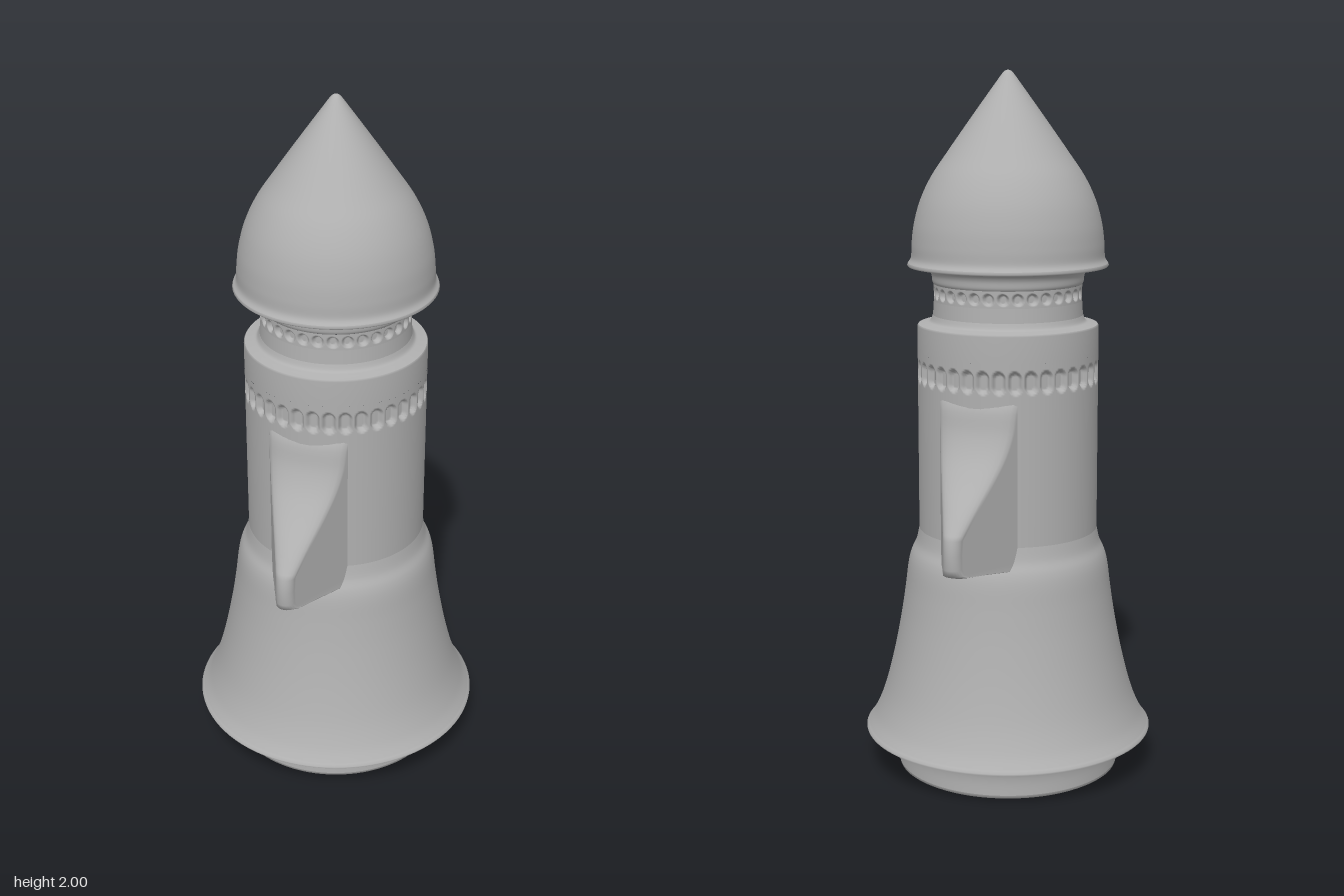
import * as THREE from 'three';
import { mergeVertices } from 'three/addons/utils/BufferGeometryUtils.js';

const v2 = (pts) => pts.map(([x, y]) => new THREE.Vector2(x, y));
const curved = (pts, n) => new THREE.SplineCurve(v2(pts)).getPoints(n);

// Cylinder wall with a row of rounded recesses pressed into it
function recessedBand(r, y0, y1, count, w, yLow, yHigh, depth) {
  const rows = 20;
  const pts = Array.from({ length: rows + 1 }, (_, i) => new THREE.Vector2(r, y0 + ((y1 - y0) * i) / rows));
  let geo = new THREE.LatheGeometry(pts, count * 12);
  geo.deleteAttribute('uv');
  geo.deleteAttribute('normal');
  geo = mergeVertices(geo, 1e-5);
  const p = geo.attributes.position;
  const step = (Math.PI * 2) / count;
  for (let i = 0; i < p.count; i++) {
    const a = Math.atan2(p.getX(i), p.getZ(i)) + Math.PI * 2;
    const u = ((a % step) - step / 2) * r; // sideways distance from the recess centre
    const y = p.getY(i);
    const dy = y - THREE.MathUtils.clamp(y, yLow + w, yHigh - w);
    const d = Math.hypot(u, dy) / w;
    const k = (r - depth * (1 - THREE.MathUtils.smoothstep(d, 0.7, 1.05))) / r;
    p.setXYZ(i, p.getX(i) * k, y, p.getZ(i) * k);
  }
  geo.computeVertexNormals();
  return geo;
}

// Wedge fin on +z: horizontal sections that follow the outer edge
function finGeometry() {
  const lower = [[0.2, 0.638], [0.28, 0.648], [0.36, 0.658], [0.42, 0.664], [0.438, 0.672], [0.444, 0.69], [0.445, 0.73]];
  const upper = curved([[0.442, 0.77], [0.39, 0.84], [0.335, 0.91], [0.295, 0.97], [0.27, 1.03], [0.255, 1.1], [0.22, 1.15]], 24);
  const edge = [...v2(lower), ...upper];
  const halfWidth = (z) => 0.095 - 0.467 * (z - 0.27);
  const pos = [], index = [], arc = 12, cols = arc + 3;
  for (const { x: zTip, y } of edge) {
    const c = zTip - 0.03, a = halfWidth(c);
    pos.push(-halfWidth(0.16), y, 0.16);
    for (let j = 0; j <= arc; j++) {
      const t = (Math.PI * j) / arc;
      pos.push(-a * Math.cos(t), y, c + 0.03 * Math.sin(t));
    }
    pos.push(halfWidth(0.16), y, 0.16);
  }
  for (let i = 0; i < edge.length - 1; i++) {
    for (let j = 0; j < cols - 1; j++) {
      const a = i * cols + j, b = a + 1, d = a + cols, c = d + 1;
      index.push(a, b, d, b, c, d);
    }
  }
  const geo = new THREE.BufferGeometry();
  geo.setAttribute('position', new THREE.Float32BufferAttribute(pos, 3));
  geo.setIndex(index);
  geo.computeVertexNormals();
  return geo;
}

export function createModel() {
  const group = new THREE.Group();
  group.name = 'rocket';
  const grey = new THREE.MeshStandardMaterial({ color: 0xb0b0b0 });
  grey.name = 'plain grey';

  const add = (name, geo) => {
    const mesh = new THREE.Mesh(geo, grey);
    mesh.name = name;
    group.add(mesh);
    return mesh;
  };
  const lathe = (name, pts) => add(name, new THREE.LatheGeometry(pts, 96));

  // Hollow base ring
  lathe('engineCavity', v2([[0, 0.14], [0.2, 0.138], [0.245, 0.125], [0.262, 0.1], [0.27, 0.06], [0.28, 0.02], [0.29, 0.004]]));
  lathe('baseRim', v2([[0.29, 0.004], [0.297, 0], [0.312, 0], [0.319, 0.004], [0.321, 0.012]]));
  lathe('baseRing', curved([[0.321, 0.012], [0.321, 0.05], [0.326, 0.078], [0.34, 0.097], [0.372, 0.105], [0.415, 0.11]], 24));
  for (let i = 0; i < 48; i++) {
    const a = (i / 48) * Math.PI * 2;
    const rib = add('cavityRib', new THREE.BoxGeometry(0.012, 0.045, 0.012));
    rib.position.set(Math.sin(a) * 0.275, 0.04, Math.cos(a) * 0.275);
    rib.rotation.y = a;
  }

  // Flared skirt rising into the hull
  lathe('skirt', [
    ...v2([[0.415, 0.11], [0.416, 0.115]]),
    ...curved([[0.41, 0.121], [0.387, 0.16], [0.36, 0.23], [0.334, 0.33], [0.312, 0.44], [0.298, 0.53], [0.289, 0.6], [0.28, 0.637], [0.265, 0.67], [0.256, 0.71]], 48),
  ]);

  // Hull with window row
  lathe('hull', v2([[0.256, 0.71], [0.256, 1.12]]));
  add('hullWindows', recessedBand(0.256, 1.12, 1.22, 36, 0.0175, 1.138, 1.198, 0.014));
  lathe('hullTop', v2([[0.256, 1.22], [0.256, 1.294], [0.253, 1.299]]));
  lathe('hullShoulder', curved([[0.253, 1.299], [0.235, 1.303], [0.22, 1.308], [0.212, 1.325]], 12));

  // Neck with smaller window row
  lathe('neckLower', v2([[0.212, 1.32], [0.209, 1.365]]));
  add('neckWindows', recessedBand(0.209, 1.365, 1.412, 32, 0.015, 1.372, 1.404, 0.012));
  lathe('neckFlare', curved([[0.209, 1.412], [0.213, 1.42], [0.216, 1.44], [0.228, 1.455], [0.255, 1.459], [0.28, 1.461]], 24));

  // Nose cone with rim
  lathe('noseRim', v2([[0.28, 1.461], [0.283, 1.465], [0.281, 1.471]]));
  lathe('noseCone', curved([[0.281, 1.471], [0.272, 1.487], [0.27, 1.525], [0.263, 1.58], [0.245, 1.645], [0.214, 1.71], [0.17, 1.775], [0.1, 1.874], [0.04, 1.957], [0.013, 1.993], [0, 2]], 64));

  // Pair of fins, front and back
  const fin = finGeometry();
  add('frontFin', fin);
  add('backFin', fin).rotation.y = Math.PI;

  return group;
}
